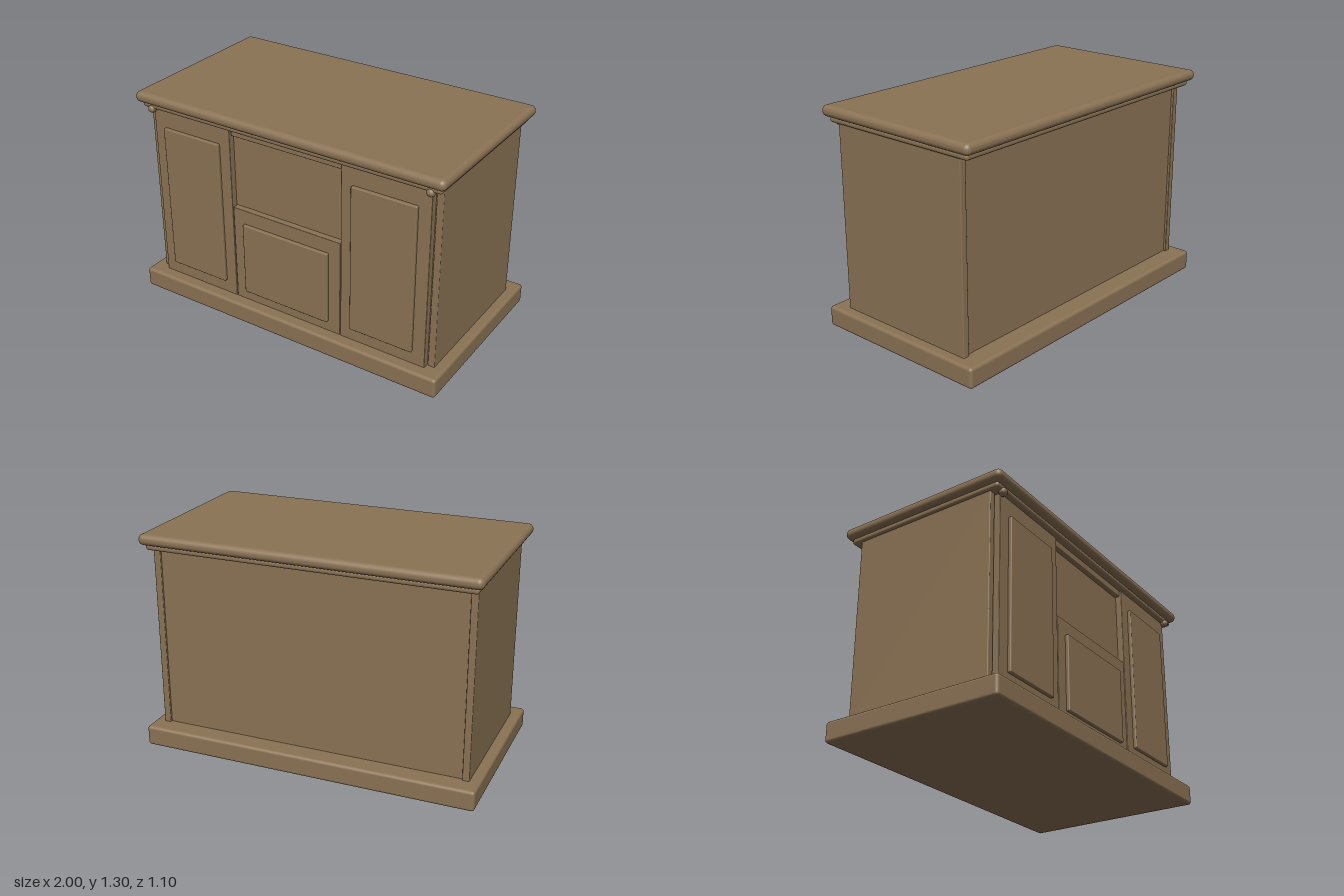
import * as THREE from 'three';
import { RoundedBoxGeometry } from 'three/addons/geometries/RoundedBoxGeometry.js';

export function createModel() {
  const group = new THREE.Group();
  group.name = 'sideboard';
  const wood = new THREE.MeshStandardMaterial({ color: 0x8b7355 });
  wood.name = 'brown wood';

  // Softly rounded block given by its limits on each axis
  function block(name, [x0, x1], [y0, y1], [z0, z1], radius) {
    const geometry = new RoundedBoxGeometry(x1 - x0, y1 - y0, z1 - z0, 4, radius);
    const mesh = new THREE.Mesh(geometry, wood);
    mesh.name = name;
    mesh.position.set((x0 + x1) / 2, (y0 + y1) / 2, (z0 + z1) / 2);
    group.add(mesh);
  }

  // Plinth, moulding and worktop
  block('plinth', [-1, 1], [0, 0.12], [-0.55, 0.55], 0.018);
  block('moulding', [-0.955, 0.955], [1.2, 1.236], [-0.505, 0.505], 0.016);
  block('worktop', [-0.985, 0.985], [1.232, 1.296], [-0.538, 0.538], 0.03);

  // Inner carcass, whose front is the back of the open niche
  block('carcass', [-0.91, 0.91], [0.11, 1.21], [-0.43, 0.44], 0.003);

  for (const [side, s] of [['left', 1], ['right', -1]]) {
    const span = (a, b) => (s > 0 ? [a, b] : [-b, -a]);
    block(side + 'SidePanel', span(0.9, 0.94), [0.11, 1.205], [-0.445, 0.447], 0.005);
    block(side + 'Door', span(0.362, 0.895), [0.115, 1.2], [0.43, 0.478], 0.004);
    block(side + 'DoorRaisedPanel', span(0.432, 0.82), [0.2, 1.092], [0.468, 0.498], 0.006);

    // Bead at the upper outer corner of the door
    const bead = new THREE.Mesh(new THREE.SphereGeometry(0.024, 20, 14), wood);
    bead.name = side + 'Bead';
    bead.position.set(s * 0.893, 1.198, 0.495);
    group.add(bead);
  }

  // Centre bay: lower front with raised panel, and rail above the niche
  block('centreFront', [-0.358, 0.358], [0.115, 0.716], [0.43, 0.477], 0.004);
  block('centreRaisedPanel', [-0.285, 0.283], [0.183, 0.63], [0.468, 0.497], 0.006);
  block('topRail', [-0.356, 0.356], [1.158, 1.2], [0.43, 0.47], 0.006);

  return group;
}
